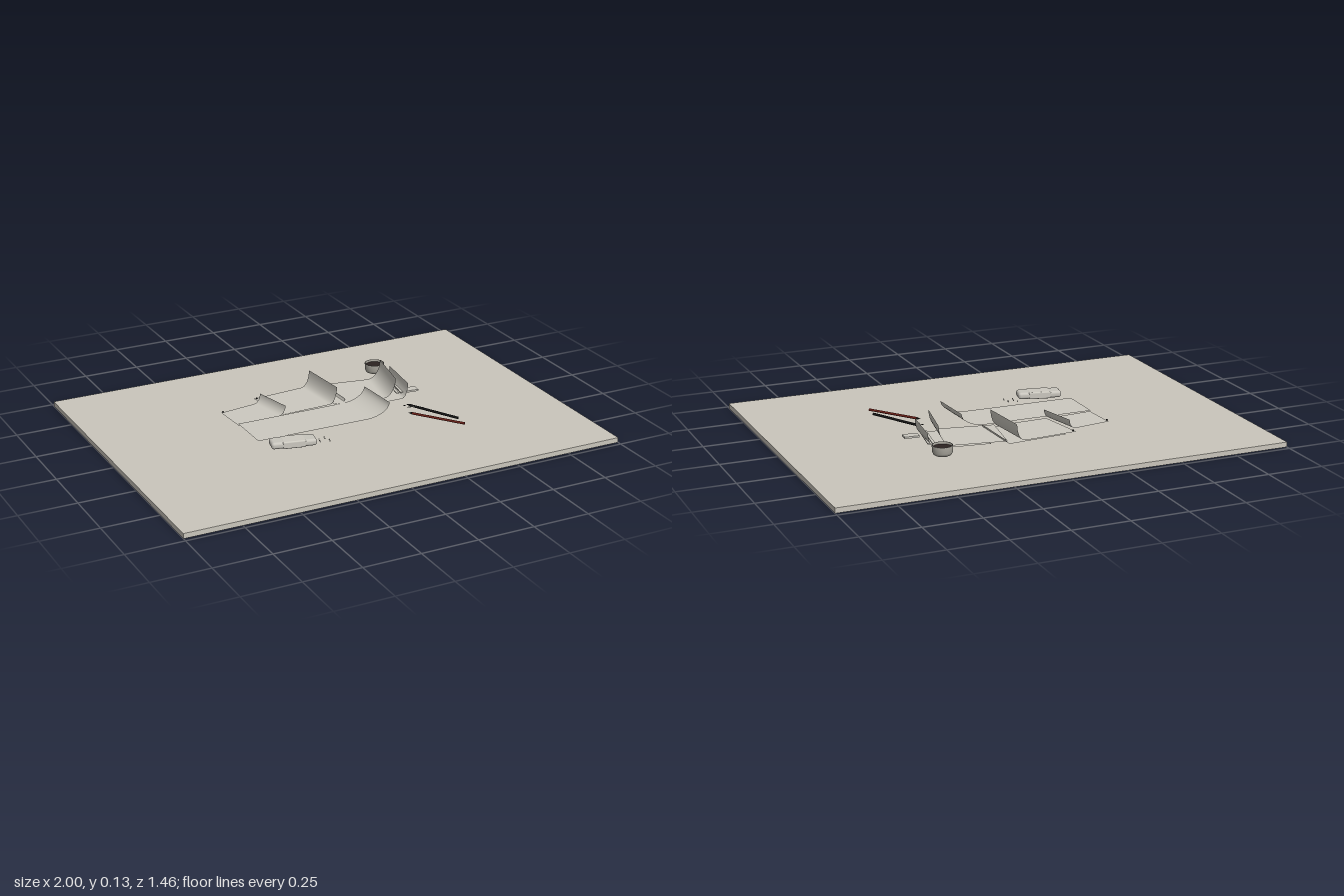
import * as THREE from 'three';
import { RoundedBoxGeometry } from 'three/addons/geometries/RoundedBoxGeometry.js';

export function createModel() {
  const root = new THREE.Group();
  const mat = (name, color, side = THREE.FrontSide) => {
    const m = new THREE.MeshStandardMaterial({ color, side });
    m.name = name;
    return m;
  };
  const board = mat('warm grey board', 0xcac6bc);
  const paper = mat('paper', 0xccc9c0, THREE.DoubleSide);
  const rubber = mat('rubber', 0xc8c5bd);
  const ceramic = mat('grey ceramic', 0xa5a299, THREE.DoubleSide);
  const ink = mat('dark ink', 0x2c2321);
  const black = mat('black lacquer', 0x161616);
  const red = mat('red lacquer', 0x6e2118);

  const add = (name, geometry, material, x = 0, y = 0, z = 0, parent = root) => {
    const mesh = new THREE.Mesh(geometry, material);
    mesh.name = name;
    mesh.position.set(x, y, z);
    parent.add(mesh);
    return mesh;
  };

  // Table slab
  add('board', new THREE.BoxGeometry(2, 0.022, 1.46), board, 0, 0.011, 0);

  // Sheet between four [x, z] corners whose right edge rolls up in a quarter arc
  const sheet = (name, [backLeft, backRight, frontRight, frontLeft], y, height, start) => {
    const n = 14;
    const g = new THREE.PlaneGeometry(1, 1, n, 1);
    const p = g.attributes.position;
    for (let i = 0; i < p.count; i++) {
      const k = i % (n + 1);
      const t = Math.max(0, (k - 2) / (n - 2)) * Math.PI / 2;
      const u = k <= 2 ? start * k / 2 : start + (1 - start) * Math.sin(t);
      const v = i > n ? 1 : 0;
      const at = (a) => THREE.MathUtils.lerp(
        THREE.MathUtils.lerp(backLeft[a], backRight[a], u),
        THREE.MathUtils.lerp(frontLeft[a], frontRight[a], u), v);
      p.setXYZ(i, at(0), y + height * (1 - Math.cos(t)), at(1));
    }
    g.computeVertexNormals();
    add(name, g, paper);
  };
  sheet('leftSheet', [[-0.41, -0.235], [-0.21, -0.265], [-0.17, -0.09], [-0.40, -0.07]], 0.042, 0.042, 0.84);
  sheet('middleUnderSheet', [[-0.17, -0.31], [0.115, -0.335], [0.125, -0.1], [-0.14, -0.09]], 0.038, 0.02, 0.9);
  sheet('middleSheet', [[-0.22, -0.31], [0.065, -0.335], [0.085, -0.1], [-0.18, -0.09]], 0.044, 0.075, 0.86);
  sheet('rightUnderSheet', [[0.16, -0.29], [0.432, -0.255], [0.405, -0.035], [0.22, -0.035]], 0.034, 0.068, 0.84);
  sheet('rightSheet', [[0.10, -0.32], [0.39, -0.27], [0.345, -0.04], [0.065, -0.09]], 0.046, 0.088, 0.8);
  sheet('frontSheet', [[-0.40, -0.08], [0.21, -0.08], [0.222, 0.13], [-0.40, 0.125]], 0.048, 0.06, 0.82);

  // Paper tab and narrow strips at the right of the stack
  const tab = add('paperTab', new THREE.BoxGeometry(0.065, 0.008, 0.04), paper, 0.445, 0.045, -0.09);
  tab.rotation.y = -0.08;
  for (let i = 0; i < 2; i++) {
    const strip = add('paperStrip', new THREE.BoxGeometry(0.012, 0.004, 0.17), paper, 0.385 + i * 0.02, 0.05, -0.15);
    strip.rotation.y = -0.17;
  }

  // Pins in the sheet corners
  for (const [x, z] of [[-0.405, -0.228], [-0.21, -0.3], [0.108, -0.303]])
    add('pin', new THREE.CylinderGeometry(0.004, 0.004, 0.004, 10), black, x, 0.048, z);

  // Eraser with a thin sleeve
  const eraser = new THREE.Group();
  eraser.name = 'eraser';
  eraser.position.set(-0.283, 0.058, 0.214);
  eraser.rotation.y = -0.22;
  root.add(eraser);
  add('eraserBody', new RoundedBoxGeometry(0.195, 0.03, 0.07, 3, 0.012), rubber, 0, 0, 0, eraser);
  add('eraserSleeve', new RoundedBoxGeometry(0.1, 0.032, 0.072, 2, 0.006), paper, 0, 0, 0, eraser);

  // Ink cup: rounded bowl wall and its dark filling
  const profile = [[0, 0], [0.028, 0], [0.038, 0.005], [0.043, 0.016], [0.044, 0.044],
    [0.040, 0.044], [0.039, 0.02], [0, 0.012]].map(([x, y]) => new THREE.Vector2(x, y));
  add('cup', new THREE.LatheGeometry(profile, 32), ceramic, 0.41, 0.04, -0.36);
  add('cupInk', new THREE.CylinderGeometry(0.0395, 0.0395, 0.004, 32), ink, 0.41, 0.073, -0.36);

  // Pencils: a shaft and a pointed tip between two [x, z] points
  const pencil = (name, material, [x0, z0], [x1, z1]) => {
    const group = new THREE.Group();
    group.name = name;
    const length = Math.hypot(x1 - x0, z1 - z0);
    group.position.set((x0 + x1) / 2, 0.04, (z0 + z1) / 2);
    group.quaternion.setFromUnitVectors(new THREE.Vector3(0, 1, 0),
      new THREE.Vector3(x0 - x1, 0, z0 - z1).normalize());
    root.add(group);
    add('shaft', new THREE.CylinderGeometry(0.0055, 0.0055, length - 0.02, 8), material, 0, -0.01, 0, group);
    add('tip', new THREE.ConeGeometry(0.0055, 0.02, 8), black, 0, length / 2 - 0.01, 0, group);
  };
  pencil('blackPencil', black, [0.355, 0.04], [0.48, 0.275]);
  pencil('redPencil', red, [0.317, 0.125], [0.475, 0.34]);

  // Eraser crumbs and pencil shavings
  for (let i = 0; i < 8; i++) {
    add('crumb', new THREE.SphereGeometry(0.003, 6, 4), rubber,
      -0.17 + (i * 0.037) % 0.07, 0.042, 0.19 + (i * 0.023) % 0.06);
    const shaving = add('shaving', new THREE.BoxGeometry(0.012, 0.002, 0.004), i % 2 ? paper : black,
      0.34 + (i * 0.031) % 0.07, 0.04, 0.05 + (i * 0.029) % 0.06);
    shaving.rotation.y = i * 0.9;
  }
  return root;
}
